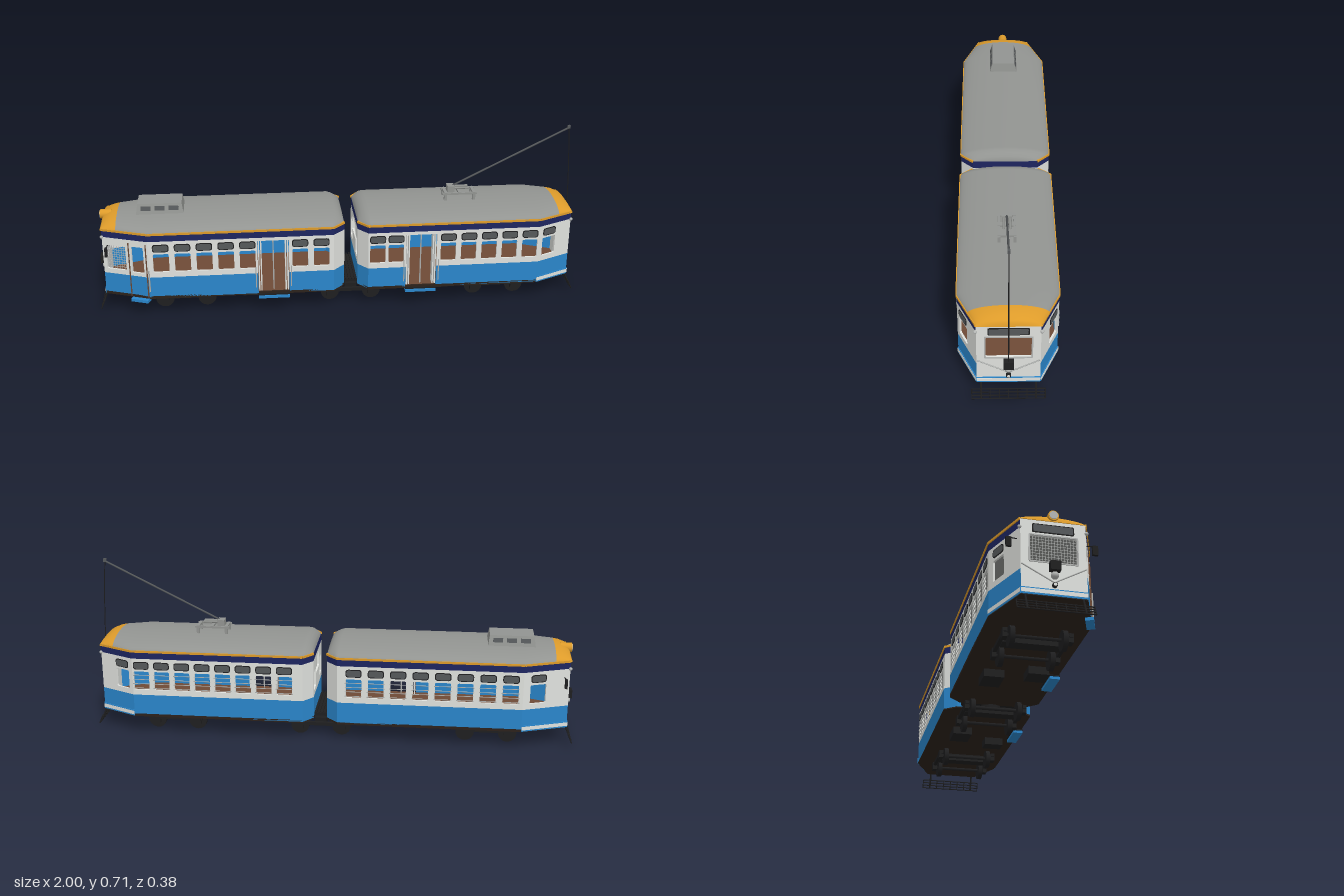
import * as THREE from 'three';

const mat = (name, color, side = THREE.FrontSide) => {
  const m = new THREE.MeshStandardMaterial({ color, side });
  m.name = name;
  return m;
};
const V = (x, y, z) => new THREE.Vector3(x, y, z);

export function createModel() {
  const blue = mat('blue', 0x2a86cb), white = mat('cream white', 0xe0e2de), navy = mat('navy', 0x1d2560);
  const orange = mat('amber', 0xdd9b2a, THREE.DoubleSide), grey = mat('roof grey', 0x929491, THREE.DoubleSide);
  const black = mat('black', 0x1f1f20), brown = mat('floor brown', 0x6e4a36), pane = mat('dark pane', 0x56595b);
  const steel = mat('steel', 0xb4b6b4), under = mat('underfloor brown', 0x2c221b);
  const tram = new THREE.Group();
  tram.name = 'articulatedTram';

  const add = (parent, name, geo, m, x = 0, y = 0, z = 0) => {
    const mesh = new THREE.Mesh(geo, m);
    mesh.name = name;
    mesh.position.set(x, y, z);
    parent.add(mesh);
    return mesh;
  };
  const box = (p, name, m, w, h, d, x, y, z) => add(p, name, new THREE.BoxGeometry(w, h, d), m, x, y, z);
  const rod = (p, name, m, a, b, r) => add(p, name, new THREE.TubeGeometry(new THREE.LineCurve3(a, b), 1, r, 6), m);
  const ball = (p, name, m, r, x, y, z) => add(p, name, new THREE.SphereGeometry(r, 16, 10), m, x, y, z);
  const disc = (p, name, m, r, d, x, y, z) => {
    const c = add(p, name, new THREE.CylinderGeometry(r, r, d, 20), m, x, y, z);
    c.rotation.x = Math.PI / 2;
    return c;
  };

  // Rounded rectangle outline centred on (x, y)
  const rounded = (S, x, y, w, h, r) => {
    const s = new S(), a = x - w / 2, b = x + w / 2, c = y - h / 2, d = y + h / 2;
    s.moveTo(a + r, c).lineTo(b - r, c).quadraticCurveTo(b, c, b, c + r).lineTo(b, d - r);
    s.quadraticCurveTo(b, d, b - r, d).lineTo(a + r, d).quadraticCurveTo(a, d, a, d - r).lineTo(a, c + r);
    return s.quadraticCurveTo(a, c, a + r, c);
  };
  const extrude = (shape, depth) => new THREE.ExtrudeGeometry(shape, { depth, bevelEnabled: false, curveSegments: 4 });
  const plate = (p, name, m, x, y, w, h, r, z) => add(p, name, extrude(rounded(THREE.Shape, x, y, w, h, r), 0.002), m, 0, 0, z);
  const frame = (p, name, m, [x, y, w, h], b) => {
    const s = rounded(THREE.Shape, x, y, w + 2 * b, h + 2 * b, 0.006);
    s.holes.push(rounded(THREE.Path, x, y, w, h, 0.004));
    add(p, name, extrude(s, 0.003), m);
  };
  const lattice = (p, [x, y, w, h]) => {
    const nx = Math.round(w / 0.011), ny = Math.round(h / 0.011);
    for (let i = 1; i < nx; i++) box(p, 'screenWire', steel, 0.0015, h, 0.0015, x - w / 2 + (w * i) / nx, y, -0.006);
    for (let i = 1; i < ny; i++) box(p, 'screenWire', steel, w, 0.0015, 0.0015, x, y - h / 2 + (h * i) / ny, -0.006);
  };

  // Wall heights
  const Y0 = 0.085, Y1 = 0.177, Y2 = 0.336, Y3 = 0.368, T = 0.008, DOOR = 0.322;

  // One straight wall: lower band, window band with openings, upper band
  function wall(car, name, a, b, o = {}) {
    const g = new THREE.Group(), L = a.distanceTo(b);
    g.name = name;
    g.position.set(a.x, 0, a.y);
    g.rotation.y = Math.atan2(a.y - b.y, b.x - a.x);
    car.add(g);
    const s = new THREE.Shape();
    let u = 0;
    s.moveTo(0, Y1);
    for (const [d0, d1] of [...(o.doors || []), [L, L]]) {
      if (d0 > u) box(g, 'lowerPanel', o.end ? white : blue, d0 - u, Y1 - Y0, T, (u + d0) / 2, (Y0 + Y1) / 2, -T / 2);
      s.lineTo(d0, Y1);
      if (d1 < L) s.lineTo(d0, DOOR).lineTo(d1, DOOR).lineTo(d1, Y1);
      u = d1;
    }
    s.lineTo(L, Y2).lineTo(0, Y2);
    for (const [x, y, w, h] of o.holes || []) s.holes.push(rounded(THREE.Path, x, y, w, h, 0.006));
    add(g, 'windowPanel', extrude(s, T), white, 0, 0, -T);
    box(g, 'letterBand', o.end ? white : navy, L, Y3 - Y2, T, L / 2, (Y2 + Y3) / 2, -T / 2);
    if (!o.end && !o.inner) box(g, 'dripRail', orange, L, 0.009, 0.008, L / 2, 0.368, 0);
    for (const x of o.lights || []) {
      plate(g, 'upperWindowFrame', black, x, 0.306, 0.066, 0.033, 0.012, 0);
      plate(g, 'upperWindow', pane, x, 0.306, 0.059, 0.026, 0.01, 0.001);
    }
    if (o.bumper) {
      box(g, 'bumperEdge', blue, L, 0.025, 0.003, L / 2, 0.095, 0.0015);
      box(g, 'bumper', white, L, 0.015, 0.002, L / 2, 0.096, 0.003);
    }
    return { g, L };
  }

  // Lights, trim, sign and life guard on a driving end
  function dressEnd(g, c) {
    frame(g, 'windscreenFrame', steel, [c, 0.259, 0.164, 0.098], 0.005);
    plate(g, 'destinationFrame', black, c, 0.337, 0.148, 0.034, 0.006, 0);
    plate(g, 'destinationPane', pane, c, 0.337, 0.14, 0.027, 0.005, 0.001);
    box(g, 'ropeCatcher', black, 0.037, 0.034, 0.024, c, 0.188, 0.014);
    ball(g, 'headlight', steel, 0.014, c, 0.157, 0.008);
    disc(g, 'socketRing', black, 0.009, 0.012, c, 0.122, 0.006);
    disc(g, 'socket', white, 0.006, 0.014, c, 0.122, 0.006);
    for (const s of [-1, 1]) {
      rod(g, 'chevronTrim', steel, V(c, 0.133, 0.002), V(c + s * 0.113, 0.195, 0.002), 0.0025);
      ball(g, 'markerLamp', steel, 0.007, c + s * 0.118, 0.336, 0);
      rod(g, 'guardStrut', black, V(c + s * 0.1, 0.085, -0.005), V(c + s * 0.1, 0.018, 0.024), 0.004);
    }
    for (let i = 0; i < 4; i++) {
      const y = 0.018 + i * 0.0115, z = 0.024 - i * 0.005;
      rod(g, 'guardBar', black, V(c - 0.135, y, z), V(c + 0.135, y, z), 0.0025);
    }
    for (let i = -4; i <= 4; i++) rod(g, 'guardUpright', black, V(c + i * 0.0335, 0.018, 0.024), V(c + i * 0.0335, 0.0525, 0.009), 0.002);
  }

  // Arched roof lofted along x, with an amber cap at the driving end
  function roof(car, half, outer, inner) {
    const dir = Math.sign(inner - outer), len = Math.abs(inner - outer);
    const round = (d, r) => (d >= r ? 1 : Math.sqrt(1 - (1 - Math.max(d, 0) / r) ** 2));
    const width = (x) => {
      const i = x < half[1].x ? 0 : x < half[2].x ? 1 : 2;
      return THREE.MathUtils.mapLinear(x, half[i].x, half[i + 1].x, half[i].y, half[i + 1].y) + 0.003;
    };
    const loft = (ds, m, name) => {
      if (dir < 0) ds.reverse();
      const pos = [], idx = [], n = 24;
      ds.forEach((d, i) => {
        const x = outer + dir * d, w = width(x), h = 0.041 * round(d, 0.06) * round(len - d, 0.05);
        const overhang = d < 0.01 ? -0.006 * dir : 0;
        for (let j = 0; j <= n; j++) {
          const t = (j / n) * Math.PI;
          pos.push(x + overhang, 0.366 + h * Math.sin(t), w * Math.cos(t));
        }
        for (let j = 0; i && j < n; j++) {
          const q = i * (n + 1) + j, p = q - n - 1;
          idx.push(p, q, p + 1, q, q + 1, p + 1);
        }
      });
      const geo = new THREE.BufferGeometry();
      geo.setAttribute('position', new THREE.Float32BufferAttribute(pos, 3));
      geo.setIndex(idx);
      geo.computeVertexNormals();
      add(car, name, geo, m);
    };
    const taper = Math.abs((dir > 0 ? half[1].x : half[2].x) - outer);
    loft([0, 0.003, 0.009, 0.02, 0.036, 0.06], orange, 'roofCap');
    loft([0.06, taper, len / 2, len - 0.05, len - 0.035, len - 0.02, len - 0.008, len - 0.002, len], grey, 'roof');
  }

  function buildCar(name, outer, taper, chamfer, inner, door, nearX, farX) {
    const car = new THREE.Group(), left = outer < inner;
    car.name = name;
    tram.add(car);
    const half = [[inner, 0.135], [chamfer, 0.185], [taper, 0.185], [outer, 0.115]].map(([x, z]) => new THREE.Vector2(x, z));
    if (left) half.reverse();
    const pts = [...half, ...[...half].reverse().map((p) => new THREE.Vector2(p.x, -p.y))];
    const win = (x, w = 0.064) => [x, 0.24, w, 0.08];

    // Floor
    const outline = new THREE.Shape(pts.map((p) => new THREE.Vector2(p.x, -p.y)));
    add(car, 'underframe', extrude(outline, 0.012).rotateX(-Math.PI / 2), under, 0, 0.08, 0);
    const top = new THREE.ShapeGeometry(outline).rotateX(-Math.PI / 2).scale(1, 1, 0.98);
    add(car, 'floor', top, brown, 0, 0.094, 0);

    pts.forEach((a, i) => {
      const b = pts[(i + 1) % 8], L = a.distanceTo(b), c = L / 2;
      const isOuter = i === (left ? 7 : 3), isInner = i === (left ? 3 : 7);
      const isTaper = left ? i === 0 || i === 6 : i === 2 || i === 4;
      if (isOuter) {
        const { g } = wall(car, 'drivingEnd', a, b, { end: true, bumper: true, holes: [[c, 0.259, 0.164, 0.098]] });
        dressEnd(g, c);
        if (left) lattice(g, [c, 0.259, 0.164, 0.098]);
      } else if (isInner) {
        wall(car, 'gangwayEnd', a, b, { inner: true, holes: [[c, 0.285, 0.106, 0.064], win(c - 0.09, 0.06), win(c + 0.09, 0.06)] });
      } else if (isTaper && left && i === 0) {
        // Cab side with the driver's door
        const cab = [0.058, 0.25, 0.085, 0.105];
        const { g } = wall(car, 'cabSide', a, b, { holes: [cab, [0.152, 0.25, 0.052, 0.115]] });
        lattice(g, cab);
        for (const u of [0.115, 0.19]) box(g, 'cabDoorFrame', brown, 0.004, 0.237, 0.004, u, 0.2035, 0.001);
        box(g, 'cabStep', blue, 0.075, 0.012, 0.03, 0.152, 0.069, -0.004);
        rod(g, 'cabHandrail', steel, V(0.2, 0.115, 0.005), V(0.2, 0.21, 0.005), 0.003);
      } else if (isTaper) {
        const u = L * (i === 4 ? 0.68 : 0.32);
        wall(car, 'taperedSide', a, b, { bumper: true, holes: [win(u, 0.068)], lights: [u] });
      } else if (i === 1) {
        const us = nearX.map((x) => x - a.x), d = door.map((x) => x - a.x), m = (d[0] + d[1]) / 2;
        const { g } = wall(car, 'doorSide', a, b, { doors: [d], holes: us.map((u) => win(u)), lights: us });
        for (const [u, s] of [[d[0], 1], [d[1], -1]]) {
          box(g, 'foldedDoorLeaf', white, 0.005, 0.225, 0.04, u + s * 0.005, 0.207, -0.024);
          box(g, 'foldedDoorLeaf', white, 0.005, 0.225, 0.034, u + s * 0.014, 0.207, -0.022);
          rod(g, 'handrail', steel, V(u - s * 0.008, 0.115, 0.005), V(u - s * 0.008, 0.21, 0.005), 0.0025);
        }
        rod(g, 'doorPole', steel, V(m, 0.09, -0.02), V(m, DOOR, -0.02), 0.003);
        box(g, 'doorSill', black, d[1] - d[0], 0.007, 0.045, m, 0.08, -0.018);
        box(g, 'doorStep', blue, d[1] - d[0], 0.011, 0.04, m, 0.068, -0.015);
      } else if (i === 5) {
        const us = farX.map((x) => a.x - x);
        const { g } = wall(car, 'windowSide', a, b, { holes: us.map((u) => win(u)), lights: us });
        for (const u of us) for (let k = 0; k < 4; k++)
          rod(g, 'windowBar', steel, V(u - 0.036, 0.208 + k * 0.019, 0.002), V(u + 0.036, 0.208 + k * 0.019, 0.002), 0.0015);
      } else wall(car, 'cornerPanel', a, b);
    });
    roof(car, half, outer, inner);
  }

  const row = (n, x, step) => Array.from({ length: n }, (_, i) => x + i * step);
  buildCar('leftCar', -0.972, -0.785, -0.035, 0.013, [-0.346, -0.218], [...row(5, -0.735, 0.0872), -0.172, -0.085], row(8, -0.735, 0.0905));
  buildCar('rightCar', 0.97, 0.82, 0.108, 0.068, [0.264, 0.392], [0.147, 0.223, ...row(5, 0.44, 0.0855)], row(8, 0.1835, 0.0855));

  // Gangway floor between the cars
  box(tram, 'gangwayFloor', black, 0.08, 0.012, 0.24, 0.04, 0.095, 0);
  for (const x of row(4, 0.021, 0.0127)) box(tram, 'gangwayRib', black, 0.005, 0.006, 0.25, x, 0.104, 0);
  disc(tram, 'gangwayPivot', black, 0.04, 0.03, 0.0425, 0.075, 0).rotation.x = 0;

  // Trucks
  for (const x of [-0.6475, 0.0425, 0.6575]) {
    const t = new THREE.Group();
    t.name = 'truck';
    t.position.x = x;
    tram.add(t);
    box(t, 'bolster', black, 0.05, 0.03, 0.22, 0, 0.06, 0);
    for (const s of [-1, 1]) {
      box(t, 'sideFrame', black, 0.22, 0.014, 0.014, 0, 0.053, s * 0.118);
      rod(t, 'axle', black, V(s * 0.0875, 0.04, -0.12), V(s * 0.0875, 0.04, 0.12), 0.007);
      for (const z of [-0.095, 0.095]) {
        disc(t, 'wheel', black, 0.038, 0.018, s * 0.0875, 0.038, z);
        box(t, 'axleBox', black, 0.034, 0.034, 0.018, s * 0.0875, 0.045, z * 1.25);
      }
    }
  }
  // Equipment under the floor
  for (const [x, z, w] of [[-0.37, 0.09, 0.08], [0.425, 0.09, 0.06], [-0.3, -0.07, 0.1], [0.34, -0.07, 0.1]])
    box(tram, 'equipmentBox', black, w, 0.032, 0.08, x, 0.065, z);

  // Roof ventilator box with sloping sides
  const ventGeo = new THREE.BoxGeometry(0.195, 0.05, 0.13), vp = ventGeo.attributes.position;
  for (let i = 0; i < vp.count; i++) if (vp.getY(i) > 0) vp.setXYZ(i, vp.getX(i) * 0.92, vp.getY(i), vp.getZ(i) * 0.77);
  ventGeo.computeVertexNormals();
  add(tram, 'ventilatorBox', ventGeo, grey, -0.737, 0.421, 0);
  for (const s of [-1, 1]) for (const x of [-0.793, -0.737, -0.681])
    box(tram, 'ventilatorLouvre', pane, 0.04, 0.018, 0.004, x, 0.427, s * 0.0558).rotation.x = -s * 0.29;

  // Roof headlight and mirrors at the left end
  disc(tram, 'roofHeadlight', orange, 0.019, 0.045, -0.962, 0.388, 0).rotation.set(0, 0, Math.PI / 2);
  disc(tram, 'roofHeadlightLens', steel, 0.015, 0.004, -0.985, 0.388, 0).rotation.set(0, 0, Math.PI / 2);
  for (const s of [-1, 1]) {
    box(tram, 'mirror', black, 0.01, 0.036, 0.02, -0.955, 0.283, s * 0.152);
    rod(tram, 'mirrorArm', black, V(-0.955, 0.3, s * 0.15), V(-0.95, 0.3, s * 0.118), 0.002);
  }

  // Trolley pole, its base and rope
  const base = new THREE.Group();
  base.name = 'trolleyBase';
  tram.add(base);
  for (const s of [-1, 1]) {
    box(base, 'baseRail', grey, 0.145, 0.008, 0.01, 0.51, 0.434, s * 0.03);
    for (const x of [0.45, 0.57]) box(base, 'baseFoot', grey, 0.012, 0.035, 0.012, x, 0.418, s * 0.03);
    rod(base, 'poleSpring', grey, V(0.47, 0.452, s * 0.012), V(0.55, 0.452, s * 0.012), 0.005);
  }
  for (const x of [0.45, 0.51, 0.57]) box(base, 'baseCrossbar', grey, 0.012, 0.008, 0.07, x, 0.436, 0);
  box(base, 'poleSocket', grey, 0.03, 0.026, 0.04, 0.475, 0.449, 0);
  rod(tram, 'trolleyPole', pane, V(0.475, 0.455, 0), V(0.965, 0.7, 0), 0.004);
  box(tram, 'trolleyShoe', pane, 0.012, 0.014, 0.009, 0.965, 0.704, 0);
  const rope = new THREE.QuadraticBezierCurve3(V(0.965, 0.7, 0), V(0.988, 0.45, 0), V(0.988, 0.2, 0));
  add(tram, 'trolleyRope', new THREE.TubeGeometry(rope, 16, 0.002, 6), black);
  return tram;
}
